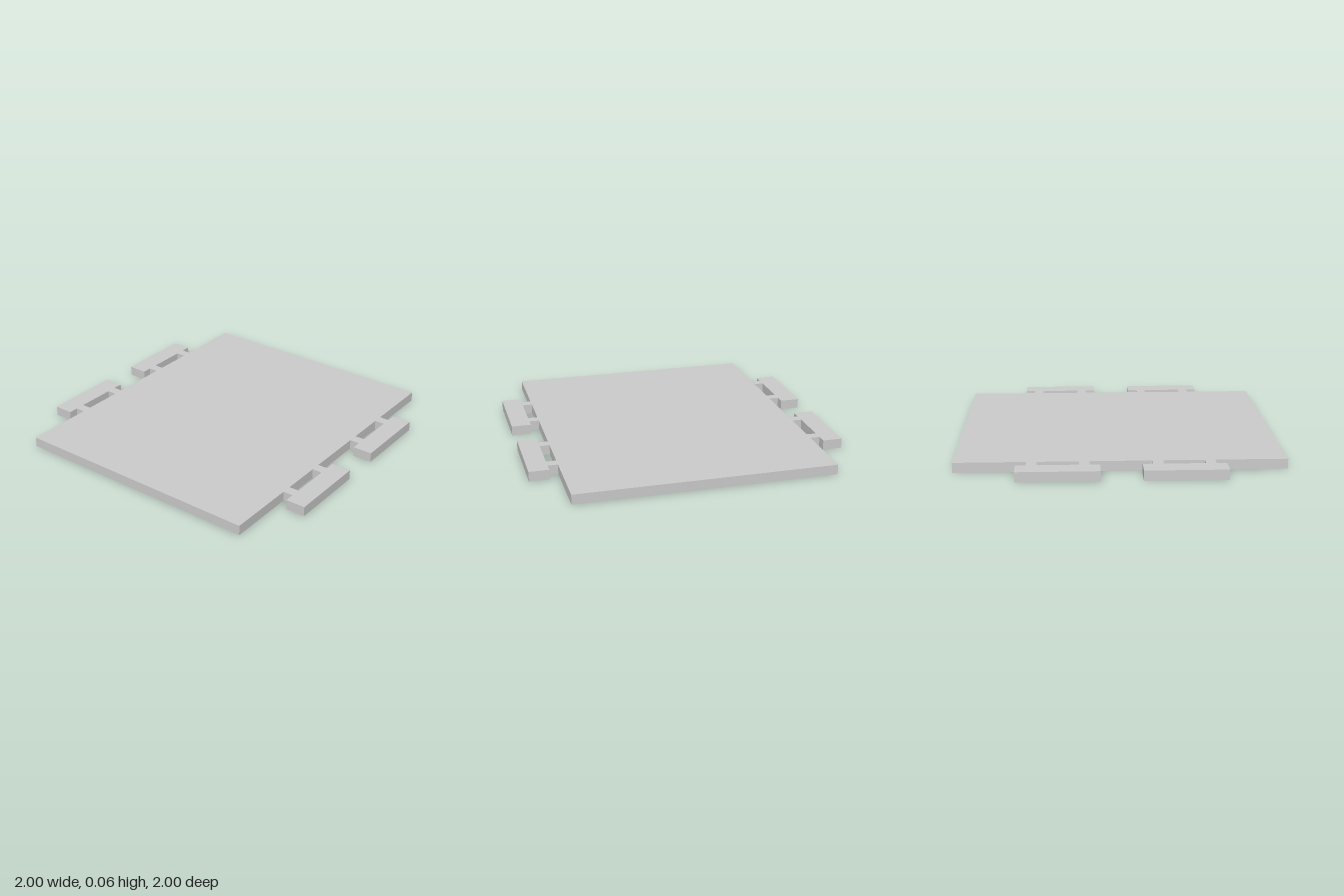
import * as THREE from 'three';

const THICKNESS = 0.0625;
const PLATE_EDGE = 0.8125; // half width of the plate
const TAB_INNER = 0.875; // where each tab's bar starts

export function createModel() {
  const model = new THREE.Group();
  model.name = 'tabbedPlate';
  const material = new THREE.MeshStandardMaterial({ color: 0xcccccc, flatShading: true });

  // Flat slab resting on y = 0, given by its x and z limits
  const slab = (name, parent, x0, x1, z0, z1) => {
    const mesh = new THREE.Mesh(new THREE.BoxGeometry(x1 - x0, THICKNESS, z1 - z0), material);
    mesh.position.set((x0 + x1) / 2, THICKNESS / 2, (z0 + z1) / 2);
    mesh.name = name;
    parent.add(mesh);
  };

  // Main plate
  slab('plate', model, -PLATE_EDGE, PLATE_EDGE, -1, 1);

  // Four side tabs: a bar held off the plate by two short necks
  for (const side of [1, -1]) {
    for (const end of [1, -1]) {
      const tab = new THREE.Group();
      tab.name = (end > 0 ? 'front' : 'back') + (side > 0 ? 'Left' : 'Right') + 'Tab';
      const zMid = end * 0.375;
      const xs = (a, b) => (side > 0 ? [a, b] : [-b, -a]);

      slab('tabBar', tab, ...xs(TAB_INNER, 1), zMid - 0.25, zMid + 0.25);
      for (const offset of [-0.15625, 0.15625]) {
        const z = zMid + offset;
        slab('tabNeck', tab, ...xs(PLATE_EDGE, TAB_INNER), z - 0.03125, z + 0.03125);
      }
      model.add(tab);
    }
  }
  return model;
}
